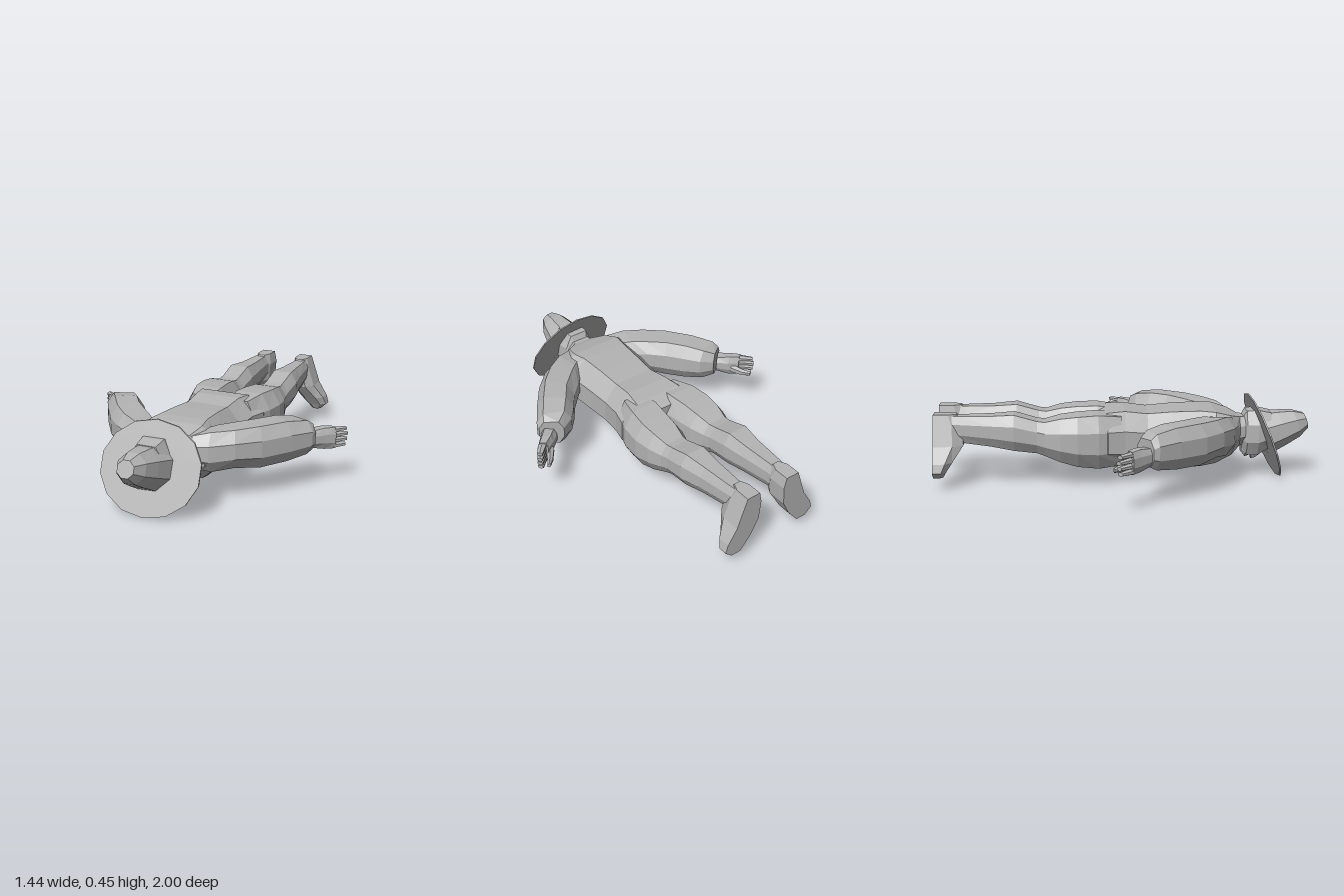
import * as THREE from 'three';

// Cross-section outlines in unit coordinates
const ngon = (n) => Array.from({ length: n }, (_, i) => {
  const a = ((i + 0.5) / n) * Math.PI * 2;
  return [Math.cos(a), Math.sin(a)];
});
const BODY = [[1, -0.4], [1, 0.4], [0.6, 1], [-0.6, 1], [-1, 0.4], [-1, -0.4], [-0.6, -1], [0.6, -1]];
const SHOE = [[1, -1], [1, 0.3], [0.5, 1], [-0.5, 1], [-1, 0.3], [-1, -1]];

// Skin between sections { c: centre, u, v: half axes }, capped at both ends
function loft(sections, shape) {
  const rings = sections.map(({ c, u, v }) => shape.map(([a, b]) =>
    new THREE.Vector3(...[0, 1, 2].map((k) => c[k] + u[k] * a + v[k] * b))));
  const n = shape.length;
  const tris = [];
  for (let r = 0; r < rings.length - 1; r++) {
    for (let i = 0; i < n; i++) {
      const j = (i + 1) % n;
      const [a, b, c, d] = [rings[r][i], rings[r][j], rings[r + 1][j], rings[r + 1][i]];
      tris.push([a, b, c], [a, c, d]);
    }
  }
  const first = rings[0], last = rings[rings.length - 1];
  for (let i = 1; i < n - 1; i++) {
    tris.push([first[0], first[i + 1], first[i]], [last[0], last[i], last[i + 1]]);
  }
  // Turn all faces outward
  const cross = new THREE.Vector3();
  const volume = tris.reduce((s, [a, b, c]) => s + a.dot(cross.crossVectors(b, c)), 0);
  const points = tris.flatMap(([a, b, c]) => (volume < 0 ? [a, c, b] : [a, b, c]));
  const geometry = new THREE.BufferGeometry().setFromPoints(points);
  geometry.computeVertexNormals();
  return geometry;
}

// Section across z: [z, x0, x1, y0, y1]
const acrossZ = (s) => ([z, x0, x1, y0, y1]) => ({
  c: [s * (x0 + x1) / 2, (y0 + y1) / 2, z],
  u: [s * (x1 - x0) / 2, 0, 0], v: [0, (y1 - y0) / 2, 0],
});
// Section across y: [y, x0, x1, z0, z1]
const acrossY = (s) => ([y, x0, x1, z0, z1]) => ({
  c: [s * (x0 + x1) / 2, y, (z0 + z1) / 2],
  u: [s * (x1 - x0) / 2, 0, 0], v: [0, 0, (z1 - z0) / 2],
});
// Section of a slanting limb: [outer x, outer z, inner x, inner z, y0, y1]
const slanted = (s) => ([ox, oz, ix, iz, y0, y1]) => ({
  c: [s * (ox + ix) / 2, (y0 + y1) / 2, (oz + iz) / 2],
  u: [s * (ox - ix) / 2, 0, (oz - iz) / 2], v: [0, (y1 - y0) / 2, 0],
});

export function createModel() {
  const model = new THREE.Group();
  model.name = 'lyingFigure';
  const grey = new THREE.MeshStandardMaterial({ color: 0xb4b4b4 });
  grey.name = 'plain grey';
  grey.flatShading = true;
  const add = (name, sections, shape = BODY) => {
    const mesh = new THREE.Mesh(loft(sections, shape), grey);
    mesh.name = name;
    model.add(mesh);
  };

  // Torso from neck to hips
  add('torso', [
    [0.68, -0.07, 0.07, 0.2, 0.34], [0.62, -0.085, 0.085, 0.18, 0.34],
    [0.57, -0.2, 0.2, 0.15, 0.36], [0.48, -0.24, 0.24, 0.11, 0.385],
    [0.4, -0.215, 0.215, 0.09, 0.39], [0.25, -0.2, 0.2, 0.08, 0.385],
    [0.12, -0.19, 0.19, 0.08, 0.375], [0, -0.205, 0.205, 0.085, 0.39],
    [-0.09, -0.23, 0.23, 0.1, 0.385], [-0.17, -0.2, 0.2, 0.13, 0.35],
  ].map(acrossZ(1)));

  // Head with nose and chin pointing down
  add('head', [
    [0.63, -0.06, 0.06, 0.18, 0.32], [0.66, -0.085, 0.085, 0.13, 0.37],
    [0.72, -0.095, 0.095, 0.13, 0.375], [0.79, -0.085, 0.085, 0.17, 0.36],
  ].map(acrossZ(1)));
  add('nose', [
    [0.69, -0.025, 0.025, 0.1, 0.16], [0.715, -0.018, 0.018, 0.105, 0.16],
    [0.75, -0.01, 0.01, 0.13, 0.17],
  ].map(acrossZ(1)));
  add('chin', [
    [0.635, -0.03, 0.03, 0.14, 0.2], [0.655, -0.045, 0.045, 0.115, 0.2],
    [0.68, -0.05, 0.05, 0.125, 0.2],
  ].map(acrossZ(1)));

  // Hat: thin tilted brim and tapering crown
  add('hatBrim', [0.748, 0.757].map((z) => ({
    c: [0, 0.232, z], u: [0.265, 0, -0.018], v: [0, 0.225, -0.083],
  })), ngon(14));
  add('hatCrown', [[0.24, 0.75, 0.122], [0.27, 0.85, 0.1], [0.293, 0.93, 0.078], [0.308, 0.985, 0.045]]
    .map(([y, z, r]) => ({ c: [0, y, z], u: [r, 0, -0.1 * r], v: [0, 0.97 * r, -0.3 * r] })), ngon(8));

  for (const [side, s] of [['left', 1], ['right', -1]]) {
    // Leg
    add(side + 'Leg', [
      [-0.02, 0.02, 0.2, 0.11, 0.37], [-0.14, 0, 0.245, 0.1, 0.385],
      [-0.25, 0.012, 0.26, 0.115, 0.38], [-0.34, 0.025, 0.25, 0.14, 0.37],
      [-0.42, 0.05, 0.225, 0.17, 0.35], [-0.46, 0.055, 0.22, 0.185, 0.355],
      [-0.58, 0.05, 0.225, 0.2, 0.39], [-0.7, 0.065, 0.2, 0.22, 0.382],
      [-0.86, 0.08, 0.18, 0.24, 0.38], [-0.93, 0.08, 0.17, 0.25, 0.38],
    ].map(acrossZ(s)));

    // Foot with flat sole, toes down and turned outward
    add(side + 'Foot', [
      [0.388, 0.085, 0.16, -1, -0.88], [0.33, 0.072, 0.18, -1, -0.85],
      [0.23, 0.08, 0.215, -1, -0.845], [0.15, 0.12, 0.265, -1, -0.9],
      [0.105, 0.155, 0.278, -1, -0.93], [0.07, 0.185, 0.24, -1, -0.95],
    ].map(acrossY(s)), SHOE);

    // Sleeve from shoulder to cuff
    add(side + 'Arm', [
      [0.1, 0.61, 0.1, 0.45, 0.2, 0.35], [0.22, 0.57, 0.19, 0.36, 0.17, 0.375],
      [0.33, 0.5, 0.235, 0.31, 0.185, 0.38], [0.43, 0.4, 0.31, 0.235, 0.17, 0.385],
      [0.53, 0.26, 0.37, 0.15, 0.175, 0.385], [0.6, 0.15, 0.43, 0.08, 0.19, 0.37],
      [0.605, 0.12, 0.5, 0.045, 0.21, 0.345],
    ].map(slanted(s)));

    // Palm, four fingers and thumb
    add(side + 'Palm', [
      [0.595, 0.115, 0.535, 0.06, 0.215, 0.305], [0.64, 0.062, 0.585, 0.015, 0.2, 0.312],
      [0.68, 0.018, 0.635, -0.015, 0.197, 0.31],
    ].map(slanted(s)));
    for (let i = 0; i < 4; i++) {
      const y = 0.21 + i * 0.028;
      const reach = [0.9, 1, 1.05, 0.95][i];
      add(side + 'Finger' + (i + 1), [
        [0.675, 0.02, 0.64, -0.01, y - 0.015, y + 0.015],
        [0.675 + 0.045 * reach, 0.02 - 0.06 * reach, 0.64 + 0.06 * reach, -0.01 - 0.055 * reach, y - 0.011, y + 0.011],
      ].map(slanted(s)), ngon(6));
    }
    add(side + 'Thumb', [
      [0.63, 0.02, 0.59, 0, 0.215, 0.265], [0.66, -0.035, 0.63, -0.05, 0.205, 0.245],
      [0.682, -0.072, 0.664, -0.08, 0.21, 0.235],
    ].map(slanted(s)), ngon(6));
  }
  return model;
}
